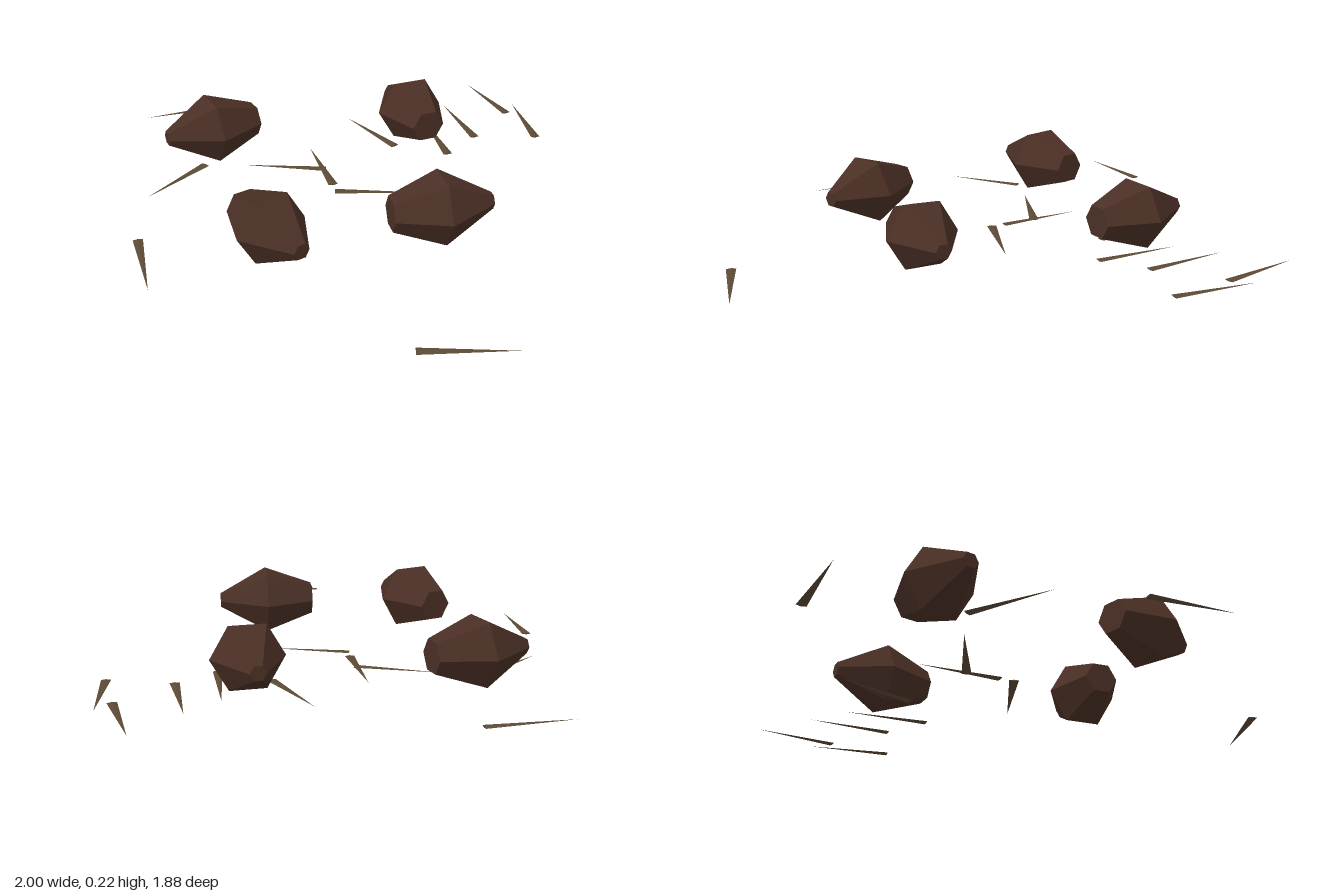
import * as THREE from 'three';

// pine cones: big end x, z -> small end x, z
const CONES = [
  [-0.513, 0.043, -0.62, 0.377],
  [-0.053, 0.519, 0.289, 0.585],
  [0.337, 0.233, 0.529, -0.07],
  [0.019, -0.348, -0.299, -0.497],
];

// needles: base x, z -> tip x, z
const NEEDLES = [
  [0.032, -0.83, -0.251, -0.941],
  [0.239, -0.735, 0.005, -0.909],
  [0.07, -0.572, -0.198, -0.711],
  [0.08, -0.392, -0.171, -0.551],
  [-0.112, -0.305, -0.401, -0.358],
  [-0.075, 0.072, -0.332, -0.07],
  [-0.178, 0.011, -0.412, 0.187],
  [-0.029, 0.102, 0.193, -0.091],
  [-0.864, -0.08, -1, 0.187],
  [-0.524, 0.285, -0.487, 0.588],
  [-0.283, 0.783, -0.032, 0.938],
  [0.781, 0.607, 0.989, 0.412],
];

// lay a part that points along +z between two ground points
function lay(mesh, [ax, az, bx, bz], y) {
  mesh.position.set((ax + bx) / 2, y, (az + bz) / 2);
  mesh.rotation.y = Math.atan2(bx - ax, bz - az);
  return mesh;
}

export function createModel() {
  const coneBrown = new THREE.MeshStandardMaterial({ color: 0x4a2f25, flatShading: true });
  coneBrown.name = 'coneBrown';
  const needleBrown = new THREE.MeshStandardMaterial({ color: 0x5c4a35, flatShading: true });
  needleBrown.name = 'needleBrown';

  // six-sided body, widest in the middle, resting on a flat side
  const profile = [[0, -0.175], [0.061, -0.175], [0.127, 0], [0.028, 0.175], [0, 0.175]]
    .map(([r, y]) => new THREE.Vector2(r, y));
  const coneGeo = new THREE.LatheGeometry(profile, 6, Math.PI / 6).rotateX(Math.PI / 2);

  // thin flattened spike
  const needleGeo = new THREE.ConeGeometry(0.017, 0.303, 4).rotateX(Math.PI / 2).scale(1, 0.15, 1);

  const model = new THREE.Group();
  model.name = 'forestLitter';
  CONES.forEach((c, i) => {
    const mesh = lay(new THREE.Mesh(coneGeo, coneBrown), c, 0.113);
    mesh.name = `pineCone${i + 1}`;
    model.add(mesh);
  });
  NEEDLES.forEach((n, i) => {
    const mesh = lay(new THREE.Mesh(needleGeo, needleBrown), n, 0.003);
    mesh.name = `needle${i + 1}`;
    model.add(mesh);
  });
  return model;
}
